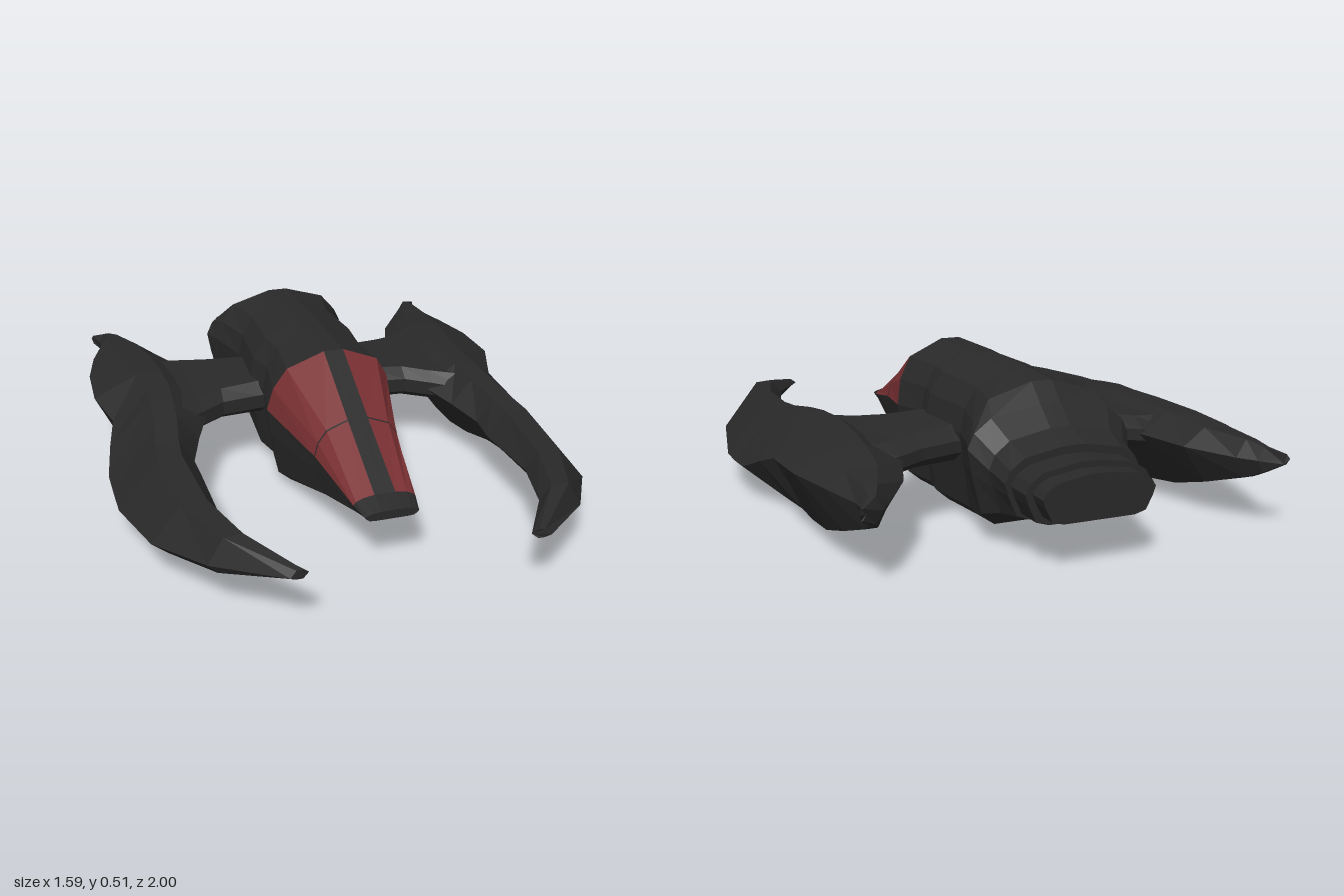
import * as THREE from 'three';

const dark = new THREE.MeshStandardMaterial({ color: 0x292929, flatShading: true });
const red = new THREE.MeshStandardMaterial({ color: 0x7a3033, flatShading: true });

// Skin a list of closed rings; keep(i, j) selects faces, caps closes the ends.
function loft(name, rings, material, keep = () => true, caps = true) {
  const pos = [];
  const tri = (a, b, c) => pos.push(...a, ...b, ...c);
  const n = rings[0].length;
  for (let i = 0; i < rings.length - 1; i++) {
    for (let j = 0; j < n; j++) {
      if (!keep(i, j)) continue;
      const k = (j + 1) % n;
      const a = rings[i][j], b = rings[i][k], c = rings[i + 1][k], d = rings[i + 1][j];
      tri(a, b, c);
      tri(a, c, d);
    }
  }
  if (caps) {
    const first = rings[0], last = rings[rings.length - 1];
    for (let k = 1; k < n - 1; k++) {
      tri(first[0], first[k + 1], first[k]);
      tri(last[0], last[k], last[k + 1]);
    }
  }
  const geo = new THREE.BufferGeometry();
  geo.setAttribute('position', new THREE.Float32BufferAttribute(pos, 3));
  geo.computeVertexNormals();
  const mesh = new THREE.Mesh(geo, material);
  mesh.name = name;
  return mesh;
}

// Mirror rings across x = 0, keeping the faces outward.
const mirror = rings => rings.map(r => r.map(([x, y, z]) => [-x, y, z]).reverse());

// Symmetric fuselage ring: domed above mid, tapering to a flat keel below.
function hullRing([z, top, bottom, w, mid, bow = 0]) {
  const up = top - mid, down = mid - bottom;
  const half = [
    [0, top], [0.035, top], [0.72 * w, top - 0.25 * up], [0.92 * w, top - 0.6 * up],
    [w, mid], [0.95 * w, mid - 0.33 * down], [0.83 * w, bottom + 0.13 * down],
    [0.63 * w, bottom], [0, bottom],
  ].map(([x, y]) => [x, y, z + bow * Math.max(0, (y - mid) / up)]);
  const left = half.slice(1, -1).reverse().map(([x, y, zz]) => [-x, y, zz]);
  return [...half, ...left];
}

// Pod ring: inner edge, two ridge points, outer edge, two keel points.
function podRing([z, xi, yi, xr, yt, xo, yo, xb, yb, w, slant = 0]) {
  return [
    [xi, yi, z - slant], [xr - w, yt - 0.15 * w, z], [xr + w, yt - 0.3 * w, z],
    [xo, yo, z + slant], [xb + w, yb, z], [xb - w, yb, z],
  ];
}

export function createModel() {
  const model = new THREE.Group();
  model.name = 'spacecraft';

  // Fuselage: z, top, bottom, half width, height of widest line, bow of the rim
  const hull = [
    [0.72, 0.205, 0.175, 0.09, 0.19],
    [0.65, 0.228, 0.165, 0.105, 0.2],
    [0.383, 0.365, 0.09, 0.15, 0.25],
    [0.377, 0.368, 0.088, 0.151, 0.25],
    [0.06, 0.51, 0, 0.228, 0.29, 0.055],
    [-0.1, 0.508, 0, 0.2, 0.3],
    [-0.2, 0.507, 0, 0.225, 0.3],
    [-0.45, 0.5, 0.01, 0.205, 0.3],
    [-0.62, 0.49, 0.04, 0.255, 0.31],
    [-0.68, 0.43, 0.07, 0.28, 0.31],
    [-0.75, 0.37, 0.1, 0.24, 0.26],
    [-0.84, 0.335, 0.12, 0.23, 0.24],
  ].map(hullRing);
  const n = hull[0].length;
  const isGlass = (i, j) => {
    const side = Math.min(j, n - 1 - j);
    return (i === 1 || i === 3) && side >= 1 && side <= 3;
  };
  model.add(loft('fuselage', hull, dark, (i, j) => !isGlass(i, j)));
  model.add(loft('canopyPanels', hull, red, isGlass, false));

  // Stepped engine outlet
  const collar = [[-0.83, 0.31, 0.13, 0.21, 0.23], [-0.935, 0.31, 0.13, 0.21, 0.23]];
  const outlet = [[-0.93, 0.29, 0.15, 0.187, 0.23], [-1, 0.29, 0.15, 0.187, 0.23]];
  model.add(loft('engineCollar', collar.map(hullRing), dark));
  model.add(loft('engineOutlet', outlet.map(hullRing), dark));

  // Curved side pods with hooked tips at both ends
  const pod = [
    [0.988, 0.35, 0.205, 0.38, 0.222, 0.41, 0.2, 0.38, 0.19, 0.01, 0.007],
    [0.81, 0.46, 0.21, 0.53, 0.265, 0.61, 0.17, 0.55, 0.14, 0.03],
    [0.59, 0.52, 0.2, 0.6, 0.272, 0.74, 0.14, 0.65, 0.1, 0.04],
    [0.3, 0.515, 0.19, 0.62, 0.288, 0.797, 0.11, 0.7, 0.06, 0.04],
    [0.2, 0.52, 0.2, 0.61, 0.295, 0.797, 0.11, 0.69, 0.055, 0.04],
    [0.07, 0.475, 0.22, 0.59, 0.315, 0.797, 0.12, 0.67, 0.05, 0.04],
    [-0.06, 0.42, 0.24, 0.58, 0.33, 0.77, 0.17, 0.64, 0.03, 0.04],
    [-0.18, 0.41, 0.25, 0.57, 0.333, 0.74, 0.21, 0.62, 0.025, 0.04],
    [-0.32, 0.41, 0.25, 0.58, 0.333, 0.785, 0.245, 0.62, 0.03, 0.045],
    [-0.52, 0.43, 0.25, 0.6, 0.325, 0.777, 0.25, 0.63, 0.06, 0.05],
    [-0.69, 0.49, 0.24, 0.62, 0.305, 0.74, 0.25, 0.63, 0.11, 0.05],
    [-0.84, 0.59, 0.23, 0.645, 0.29, 0.69, 0.24, 0.645, 0.16, 0.02],
    [-0.9, 0.63, 0.23, 0.66, 0.275, 0.69, 0.24, 0.66, 0.19, 0.01],
    [-0.94, 0.69, 0.235, 0.705, 0.255, 0.715, 0.24, 0.705, 0.22, 0.004, -0.01],
  ].map(podRing);

  // Short wings joining pods to fuselage: x, front z, rear z, top, bottom
  const wing = [
    [0.12, -0.1, -0.44, 0.32, 0.19],
    [0.22, -0.1, -0.45, 0.315, 0.195],
    [0.35, -0.09, -0.48, 0.308, 0.195],
    [0.44, -0.04, -0.52, 0.3, 0.19],
    [0.55, 0.03, -0.54, 0.3, 0.17],
  ].map(([x, f, r, t, b]) => {
    const mid = (t + b) / 2;
    return [
      [x, t, r + 0.06], [x, t, f - 0.04], [x, mid + 0.02, f], [x, mid - 0.03, f],
      [x, b, f - 0.04], [x, b, r + 0.06], [x, mid - 0.02, r], [x, mid + 0.02, r],
    ];
  });

  model.add(loft('leftPod', pod, dark), loft('rightPod', mirror(pod), dark));
  model.add(loft('leftWing', wing, dark), loft('rightWing', mirror(wing), dark));
  return model;
}
